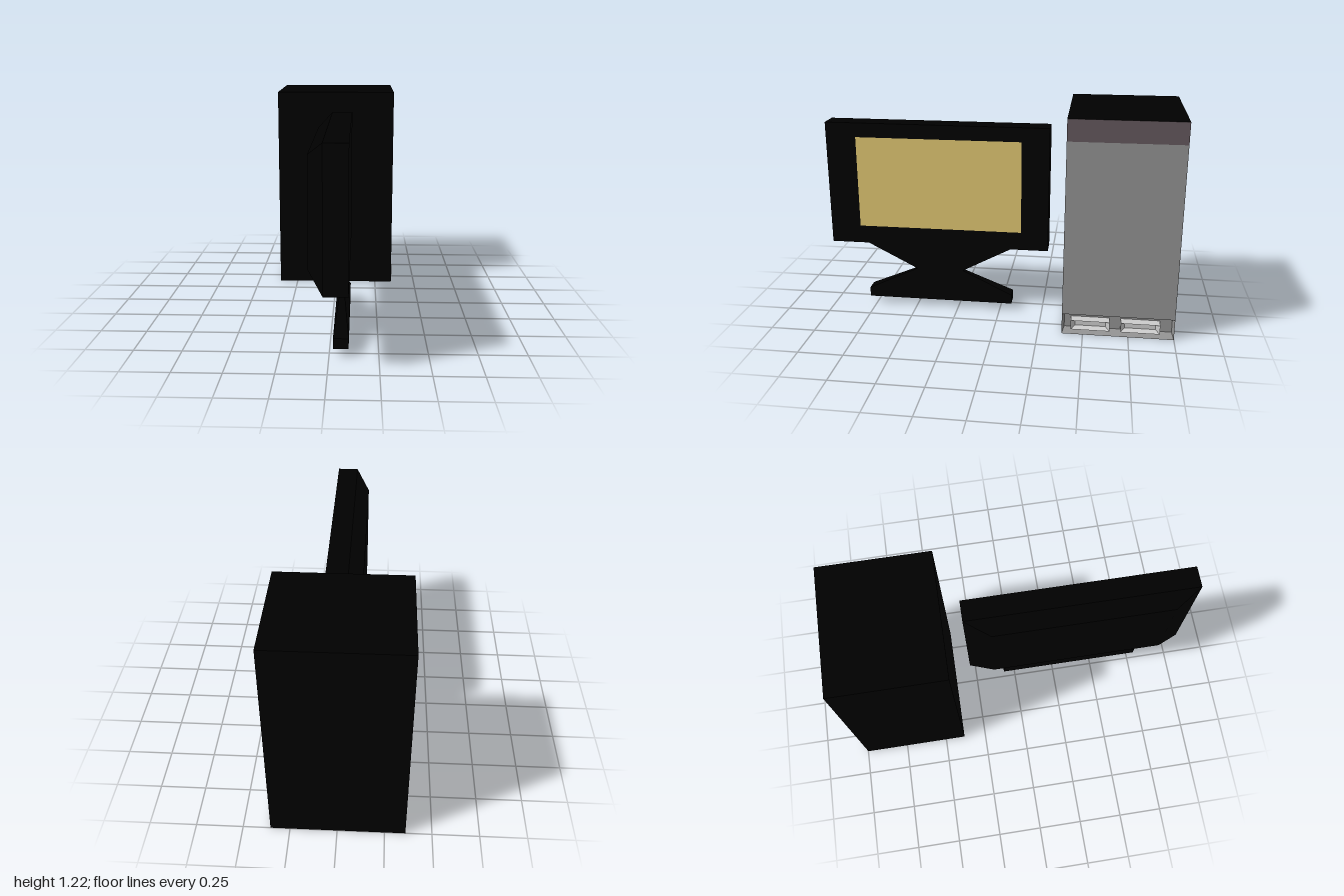
import * as THREE from 'three';

const mat = (color, side = THREE.FrontSide) =>
  new THREE.MeshStandardMaterial({ color, side, flatShading: true });

// Loft through rectangles [pos, u0, u1, v0, v1] stacked along x (u = y, v = z) or y (u = z, v = x).
// A section that steps back inside the previous one makes a recess.
function loft(axis, sections, capEnd = true) {
  const pos = [];
  const place = (w, u, v) => (axis === 'x' ? [w, u, v] : [v, w, u]);
  const rings = sections.map(([w, u0, u1, v0, v1]) =>
    [place(w, u0, v0), place(w, u1, v0), place(w, u1, v1), place(w, u0, v1)]);
  const quad = (a, b, c, d) => pos.push(...a, ...b, ...c, ...a, ...c, ...d);
  for (let k = 0; k < rings.length - 1; k++) {
    const a = rings[k], b = rings[k + 1];
    for (let i = 0; i < 4; i++) {
      const j = (i + 1) % 4;
      quad(a[i], a[j], b[j], b[i]);
    }
  }
  const first = rings[0], last = rings[rings.length - 1];
  quad(first[3], first[2], first[1], first[0]);
  if (capEnd) quad(...last);
  const g = new THREE.BufferGeometry();
  g.setAttribute('position', new THREE.Float32BufferAttribute(pos, 3));
  g.computeVertexNormals();
  return g;
}

// Flat panel facing +x
function panel(x, y0, y1, z0, z1) {
  const g = new THREE.PlaneGeometry(z1 - z0, y1 - y0);
  g.rotateY(Math.PI / 2);
  g.translate(x, (y0 + y1) / 2, (z0 + z1) / 2);
  return g;
}

export function createModel() {
  const model = new THREE.Group();
  model.name = 'desktopComputer';
  const black = mat(0x000000), grey = mat(0x929292);
  const add = (parent, name, geometry, material) => {
    const mesh = new THREE.Mesh(geometry, material);
    mesh.name = name;
    parent.add(mesh);
  };

  // Tower: black case, open on its +x face where the panels sit
  const tower = new THREE.Group();
  tower.name = 'tower';
  model.add(tower);
  const face = 0.354, z0 = -1, z1 = -0.383;
  add(tower, 'case', loft('x', [[-0.36, 0, 1.219, z0, z1], [face, 0, 1.219, z0, z1]], false),
    mat(0x000000, THREE.DoubleSide));
  add(tower, 'topBand', panel(face, 1.10, 1.219, z0, z1), mat(0x64585d));
  add(tower, 'facePanel', panel(face, 0.12, 1.10, z0, z1), grey);

  // Tapered port recess along the bottom
  add(tower, 'portRecess',
    loft('x', [[0.30, 0.02, 0.10, -0.99, -0.395], [face, 0, 0.12, z0, z1]], false).scale(1, 1, 1),
    mat(0x929292, THREE.DoubleSide));

  // Two straight-sided ports with hollow, tapered sockets
  for (const [name, z] of [['leftPort', -0.54], ['rightPort', -0.815]]) {
    add(tower, name, loft('x', [
      [0.30, 0.032, 0.085, z - 0.107, z + 0.107],
      [0.36, 0.032, 0.085, z - 0.107, z + 0.107],
      [0.32, 0.04, 0.077, z - 0.085, z + 0.085],
    ]), mat(0xcccccc));
  }

  // Monitor: chamfered back, front sloping inward from the rim to the sunken screen
  const monitor = new THREE.Group();
  monitor.name = 'monitor';
  model.add(monitor);
  const screen = [0.477, 1.016, -0.12, 0.84];
  add(monitor, 'monitorShell', loft('x', [
    [-0.098, 0.472, 1.032, -0.14, 0.86],
    [-0.02, 0.387, 1.108, -0.28, 1],
    [0.10, 0.387, 1.108, -0.28, 1],
    [0.058, ...screen],
  ]), black);
  add(monitor, 'screen', panel(0.06, ...screen), mat(0xe2c873));

  // Stand: base plate pinched to a narrow neck, flaring up to the monitor
  add(monitor, 'stand', loft('y', [
    [0.04, -0.07, 0.79, 0.02, 0.098],
    [0.095, -0.07, 0.79, 0.02, 0.098],
    [0.225, 0.225, 0.50, 0.045, 0.072],
    [0.39, -0.07, 0.79, 0.02, 0.098],
  ]), black);

  return model;
}
